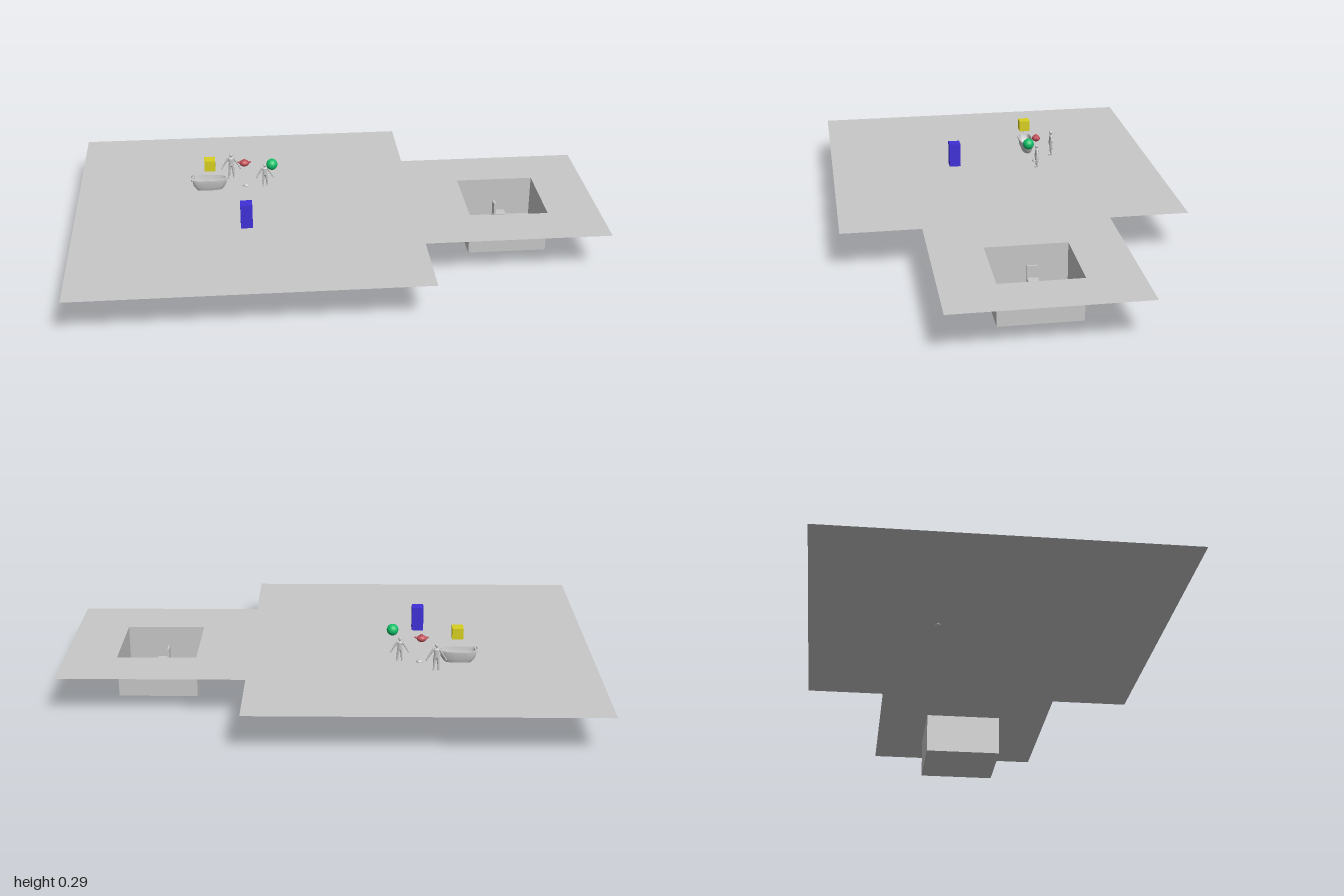
import * as THREE from 'three';
import { toCreasedNormals } from 'three/addons/utils/BufferGeometryUtils.js';

const FLOOR = 0.16;

export function createModel() {
  const model = new THREE.Group();
  const mat = (name, color, extra = {}) => new THREE.MeshStandardMaterial({ name, color, ...extra });
  const grey = mat('plain grey', 0xc8c8c8, { side: THREE.DoubleSide });
  const yellow = mat('yellow', 0xd8d020);
  const blue = mat('blue', 0x4030d8);
  const green = mat('green', 0x10c068);
  const red = mat('dusty red', 0xc05058);

  const add = (parent, name, geo, material, x = 0, y = 0, z = 0) => {
    const m = new THREE.Mesh(geo, material);
    m.name = name;
    m.position.set(x, y, z);
    parent.add(m);
    return m;
  };
  const group = (name, x, y, z) => {
    const g = new THREE.Group();
    g.name = name;
    g.position.set(x, y, z);
    model.add(g);
    return g;
  };
  const box = (w, h, d) => new THREE.BoxGeometry(w, h, d);
  const ball = (rx, ry = rx, rz = rx) => new THREE.SphereGeometry(1, 20, 14).scale(rx, ry, rz);
  const points = (list) => list.map(([a, b]) => new THREE.Vector2(a, b));

  // Floor: large room and small room, with a square opening over the pit
  const plan = new THREE.Shape(points([
    [-1, -0.65], [0.3, -0.65], [0.3, -0.35], [1, -0.35],
    [1, 0.35], [0.3, 0.35], [0.3, 0.65], [-1, 0.65]]));
  plan.holes.push(new THREE.Path(points([[0.5, -0.152], [0.5, 0.152], [0.8, 0.152], [0.8, -0.152]])));
  add(model, 'floor', new THREE.ShapeGeometry(plan).rotateX(-Math.PI / 2), grey, 0, FLOOR, 0);

  // Pit: four walls and a bottom
  const pit = group('pit', 0.65, 0, 0);
  for (const s of [-1, 1]) {
    add(pit, 'pitSideWall', new THREE.PlaneGeometry(0.304, FLOOR).rotateY(s * Math.PI / 2), grey, s * 0.15, FLOOR / 2, 0);
    add(pit, 'pitEndWall', new THREE.PlaneGeometry(0.3, FLOOR).rotateY(s > 0 ? 0 : Math.PI), grey, 0, FLOOR / 2, s * 0.152);
  }
  add(pit, 'pitBottom', new THREE.PlaneGeometry(0.3, 0.304).rotateX(-Math.PI / 2), grey);

  // Chair standing in the pit
  const chair = group('chair', 0.644, 0, 0);
  add(chair, 'chairSeat', box(0.048, 0.008, 0.038), grey, 0, 0.088, 0);
  add(chair, 'chairBack', box(0.008, 0.045, 0.038), grey, -0.02, 0.114, 0);
  for (const x of [-0.02, 0.02]) for (const z of [-0.015, 0.015]) {
    add(chair, 'chairLeg', box(0.007, 0.085, 0.007), grey, x, 0.0425, z);
  }

  // Loose coloured solids
  add(model, 'blueCabinet', box(0.045, 0.095, 0.045), blue, -0.35, FLOOR + 0.0475, 0.153);
  add(model, 'yellowCube', box(0.042, 0.043, 0.042), yellow, -0.483, 0.272, -0.157);
  add(model, 'greenBall', ball(0.022), green, -0.241, 0.272, -0.135);

  // Red pot with grey fittings
  const pot = group('pot', -0.348, 0.258, -0.185);
  add(pot, 'potBody', ball(0.019, 0.013, 0.016), red);
  add(pot, 'potLid', ball(0.006, 0.004, 0.006), red, 0, 0.013, 0);
  for (const s of [-1, 1]) add(pot, 'potHandle', ball(0.007, 0.004, 0.004), red, s * 0.02, 0.004, 0);

  // Small stone set into the floor
  add(model, 'stone', ball(0.013, 0.009, 0.011), grey, -0.343, 0.161, -0.18);

  // Bathtub: round foot end, squarer tap end, rings from the underside over the rim to the inside
  const tub = group('bathtub', -0.487, FLOOR, -0.168);
  const rings = [[0, 0, 0], [0.05, 0.018, 0], [0.064, 0.025, 0.018], [0.068, 0.027, 0.042],
    [0.074, 0.031, 0.043], [0.074, 0.031, 0.048], [0.064, 0.024, 0.048],
    [0.058, 0.021, 0.025], [0.045, 0.015, 0.008], [0, 0, 0.008]];
  const N = 32, pos = [], index = [];
  const bend = (v, e) => Math.sign(v) * Math.pow(Math.abs(v), e);
  for (const [rx, rz, y] of rings) {
    for (let j = 0; j < N; j++) {
      const a = (j / N) * Math.PI * 2, c = Math.cos(a), e = c < 0 ? 0.5 : 0.9;
      pos.push(rx * bend(c, e), y, -rz * bend(Math.sin(a), e));
    }
  }
  for (let i = 0; i < rings.length - 1; i++) {
    for (let j = 0; j < N; j++) {
      const k = (j + 1) % N, a = i * N + j, b = i * N + k, c = b + N, d = a + N;
      index.push(a, b, c, a, c, d);
    }
  }
  const shell = new THREE.BufferGeometry();
  shell.setAttribute('position', new THREE.Float32BufferAttribute(pos, 3));
  shell.setIndex(index);
  add(tub, 'tubShell', toCreasedNormals(shell, 0.7), grey);
  const spout = new THREE.CatmullRomCurve3([[-0.069, 0.045], [-0.069, 0.058], [-0.063, 0.061], [-0.054, 0.056]]
    .map(([x, y]) => new THREE.Vector3(x, y, 0)));
  add(tub, 'tap', new THREE.TubeGeometry(spout, 12, 0.0022, 8), grey);

  // Standing figures with arms held away from the body, built one unit tall
  const limb = (parent, name, from, to, r0, r1, material) => {
    const a = new THREE.Vector3(...from), b = new THREE.Vector3(...to), dir = b.clone().sub(a);
    const m = add(parent, name, new THREE.CylinderGeometry(r1, r0, dir.length(), 10), material);
    m.position.copy(a).add(b).multiplyScalar(0.5);
    m.quaternion.setFromUnitVectors(new THREE.Vector3(0, 1, 0), dir.normalize());
  };
  const torso = points([[0, 0.46], [0.08, 0.47], [0.1, 0.52], [0.08, 0.63], [0.11, 0.76], [0.1, 0.81], [0.035, 0.84], [0, 0.84]]);
  const figure = (name, x, z, height) => {
    const f = group(name, x, FLOOR, z);
    f.scale.setScalar(height);
    add(f, 'torso', new THREE.LatheGeometry(torso, 16).scale(1, 1, 0.7), grey);
    limb(f, 'neck', [0, 0.82, 0], [0, 0.89, 0], 0.035, 0.035, grey);
    add(f, 'head', ball(0.058, 0.075, 0.068), grey, 0, 0.925, 0.01);
    for (const s of [-1, 1]) {
      limb(f, 'upperArm', [s * 0.1, 0.79, 0], [s * 0.22, 0.6, 0], 0.042, 0.032, grey);
      limb(f, 'forearm', [s * 0.22, 0.6, 0], [s * 0.32, 0.43, 0.01], 0.032, 0.022, grey);
      add(f, 'hand', ball(0.028, 0.045, 0.02), grey, s * 0.335, 0.4, 0.01);
      limb(f, 'thigh', [s * 0.05, 0.5, 0], [s * 0.075, 0.27, 0], 0.06, 0.042, grey);
      limb(f, 'shin', [s * 0.075, 0.27, 0], [s * 0.085, 0.04, -0.01], 0.042, 0.026, grey);
      add(f, 'foot', ball(0.032, 0.025, 0.075), grey, s * 0.09, 0.025, 0.025);
    }
  };
  figure('tallFigure', -0.4, -0.258, 0.108);
  figure('shortFigure', -0.268, -0.174, 0.098);

  return model;
}
